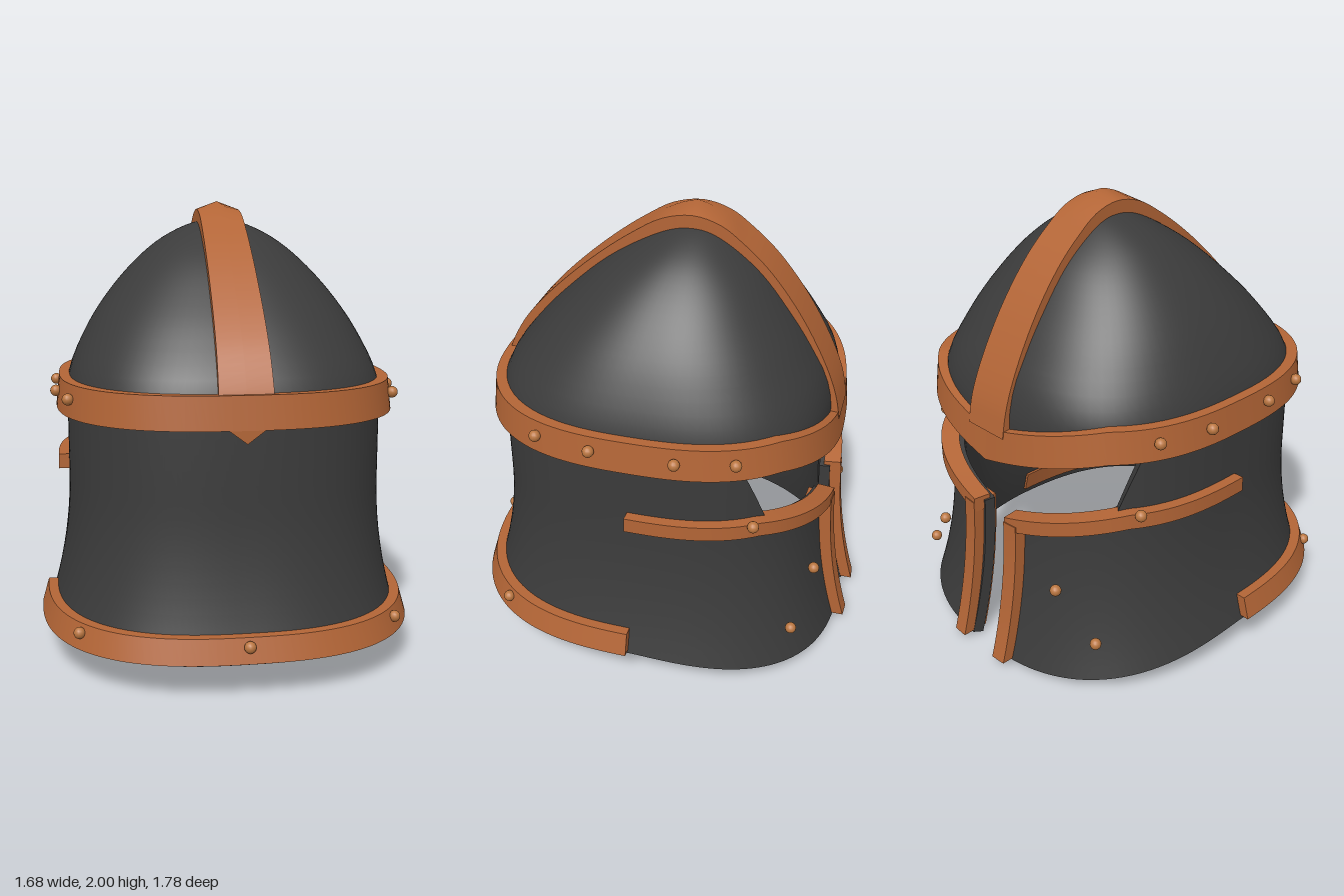
import * as THREE from 'three';
import { mergeGeometries } from 'three/addons/utils/BufferGeometryUtils.js';

const PI = Math.PI;
const SHELL = 0.05; // plate thickness
const clamp = THREE.MathUtils.clamp;
const lerp = THREE.MathUtils.lerp;

// One smooth surface patch from f(s, t)
function patch(f, ns, nt) {
  const pos = [], idx = [];
  for (let i = 0; i <= ns; i++)
    for (let j = 0; j <= nt; j++) pos.push(...f(i / ns, j / nt));
  for (let i = 0; i < ns; i++)
    for (let j = 0; j < nt; j++) {
      const a = i * (nt + 1) + j, b = a + nt + 1;
      idx.push(a, a + 1, b + 1, a, b + 1, b);
    }
  const g = new THREE.BufferGeometry();
  g.setAttribute('position', new THREE.Float32BufferAttribute(pos, 3));
  g.setIndex(idx);
  g.computeVertexNormals();
  return g;
}

// Curved slab p(u, v, w): w = 0 is the inside, w = 1 the outside
function slab(p, nu, nv, closed = false) {
  const parts = [
    patch((s, t) => p(s, t, 1), nu, nv),
    patch((s, t) => p(1 - s, t, 0), nu, nv),
    patch((s, t) => p(t, 1, s), 1, nu),
    patch((s, t) => p(1 - t, 0, s), 1, nu),
  ];
  if (!closed) parts.push(
    patch((s, t) => p(1, s, t), nv, 1),
    patch((s, t) => p(0, 1 - s, t), nv, 1));
  return mergeGeometries(parts);
}

// Rounded-square ring point; angle 0 is the face opening (-z), PI / 2 is +x
function ring(a, rx, rz, y, n = 2.6, zc = 0) {
  const s = Math.sin(a), c = Math.cos(a);
  const r = Math.pow(Math.pow(Math.abs(s) / rx, n) + Math.pow(Math.abs(c) / rz, n), -1 / n);
  return [r * s, y, zc - r * c];
}

// Lower edge dips toward the face
const bottomY = a => 0.145 - 0.125 * Math.pow(Math.max(0, Math.cos(a)), 1.6);

// Flared side wall, pushed out by off
function wall(a, y, off) {
  const b = bottomY(a);
  const g = Math.pow(clamp(1 - (y - b) / (1.2 - b) / 0.6, 0, 1), 2);
  return ring(a, 0.70 + 0.10 * g + off, 0.737 + 0.105 * g + off, y);
}

// V-shaped dip across the face, reaching zero at half-width w
function faceDip(a, depth, w) {
  if (Math.cos(a) <= 0) return 0;
  return depth * Math.max(0, 1 - Math.abs(ring(a, 0.72, 0.76, 0)[0]) / w);
}
const browDip = a => faceDip(a, 0.135, 0.55);
const cheekTop = a => 0.862 - faceDip(a, 0.17, 0.6);

// Top edge of the wall: cheek plates, slanted eye corner, then full height
function wallTop(a) {
  const d = Math.min(a, 2 * PI - a);
  return lerp(cheekTop(a) - 0.02, 1.19, clamp((d - 0.785) / 0.2, 0, 1));
}

export function createModel() {
  const steel = new THREE.MeshStandardMaterial({ color: 0x3b3b3b });
  steel.name = 'dark steel';
  const bronze = new THREE.MeshStandardMaterial({ color: 0xb36536 });
  bronze.name = 'bronze trim';
  const rivetMat = new THREE.MeshStandardMaterial({ color: 0xba7640 });
  rivetMat.name = 'rivet bronze';

  const model = new THREE.Group();
  model.name = 'helmet';
  const add = (name, geo, mat) => {
    const m = new THREE.Mesh(geo, mat);
    m.name = name;
    model.add(m);
    return m;
  };

  // Neck guard and cheek plates in one wall, split at the face, lower edge bevelled
  add('wall', slab((u, v, w) => {
    const a = lerp(0.12, 2 * PI - 0.12, u);
    const p = wall(a, lerp(bottomY(a), wallTop(a), v), (w - 1) * SHELL);
    p[1] -= 0.02 * (1 - w) * (1 - v);
    return p;
  }, 180, 16), steel);

  // Pointed dome; profile stores (half-width, height, half-depth)
  const profile = new THREE.CatmullRomCurve3([
    [0.70, 1.105, 0.737], [0.69, 1.24, 0.73], [0.605, 1.44, 0.61], [0.50, 1.6, 0.48],
    [0.375, 1.74, 0.345], [0.25, 1.84, 0.21], [0.11, 1.905, 0.09], [0.002, 1.92, 0.002],
  ].map(p => new THREE.Vector3(...p)));
  add('dome', slab((u, v, w) => {
    const a = u * 2 * PI, p = profile.getPoint(v);
    const k = clamp((p.y - 1.2) / 0.72, 0, 1);
    const shrink = 1 - (1 - w) * 0.07;
    const y = p.y - browDip(a) * Math.max(0, 1 - v * 5) - (1 - w) * SHELL * k;
    return ring(a, p.x * shrink, p.z * shrink, y, 2.6 - 0.5 * k, -0.1 * Math.pow(k, 1.5));
  }, 96, 28, true), steel);

  // Crest: a solid web through the dome, flat below, with a small ridge at the peak; path is (z, y)
  const crest = new THREE.CatmullRomCurve3([
    [0.772, 1.1], [0.768, 1.18], [0.745, 1.26], [0.675, 1.39], [0.585, 1.5], [0.46, 1.625],
    [0.31, 1.755], [0.16, 1.865], [0.03, 1.94], [-0.1, 1.965], [-0.22, 1.935], [-0.32, 1.865],
    [-0.42, 1.775], [-0.52, 1.655], [-0.61, 1.52], [-0.70, 1.35], [-0.75, 1.22], [-0.775, 1.1],
  ].map(([z, y]) => new THREE.Vector3(0, y, z)));
  add('crest', slab((u, v, w) => {
    const p = crest.getPoint(u);
    const half = 0.095 + 0.018 * clamp((1.96 - p.y) / 0.75, 0, 1);
    const across = v * 2 - 1;
    const ridge = 0.035 * (1 - Math.abs(across)) * Math.max(0, 1 - Math.abs(p.z + 0.1) / 0.2);
    return [across * half, w ? p.y + ridge : 1.1, p.z];
  }, 68, 2), bronze);

  // Brow band, dipping to a point over the nose
  add('browBand', slab((u, v, w) => {
    const a = u * 2 * PI, o = w ? 0 : -0.07 + 0.015 * v;
    return ring(a, 0.75 - 0.015 * v + o, 0.785 - 0.015 * v + o, lerp(1.1, 1.24, v) - browDip(a));
  }, 160, 1, true), bronze);

  // Small downward point on the opposite side of the brow band
  const tri = new THREE.Shape();
  tri.moveTo(-0.08, 1.105);
  tri.lineTo(0, 1.045);
  tri.lineTo(0.08, 1.105);
  const point = add('bandPoint', new THREE.ExtrudeGeometry(tri, { depth: 0.05, bevelEnabled: false }), bronze);
  point.position.z = 0.733;

  // Rim around the neck, showing inside as well
  add('neckRim', slab((u, v, w) =>
    wall(lerp(PI / 2, 1.5 * PI, u), lerp(0.162, 0.265, v), w ? 0.043 : -SHELL - 0.018), 80, 1), bronze);

  // Edging on each cheek plate
  for (const side of [1, -1]) {
    const from = side > 0 ? 0.13 : -PI / 2 - 0.025;
    const to = side > 0 ? PI / 2 + 0.025 : -0.13;
    add('cheekTopTrim', slab((u, v, w) => {
      const a = lerp(from, to, u);
      return wall(a, cheekTop(a) - 0.067 * (1 - v), w ? 0.047 : -0.03);
    }, 60, 1), bronze);

    // The left upright wraps through to the inside of its plate
    const x0 = side > 0 ? 0.102 : -0.175;
    const inner = side > 0 ? -SHELL - 0.02 : -0.03;
    add('cheekFrontTrim', slab((u, v, w) => {
      const x = x0 + u * 0.073;
      const y = lerp(0.03, 0.70, v);
      const p = wall(Math.atan2(x, -wall(0, y, 0)[2]), y, w ? 0.052 : inner);
      return [x, y, p[2]];
    }, 3, 20), bronze);
  }

  // Rivets
  const ball = new THREE.SphereGeometry(0.025, 14, 10);
  const rivet = (x, y, z) => add('rivet', ball, rivetMat).position.set(x, y, z);
  const spots = [
    [0.75, 1.18, 0.16], [0.70, 1.18, 0.41], [0.75, 1.18, -0.2], [0.69, 1.18, -0.44],
    [0.66, 0.865, -0.515], [0.39, 0.475, -0.75], [0.57, 0.262, -0.69], [0.677, 0.23, 0.615],
  ];
  for (const [x, y, z] of spots) for (const s of [1, -1]) rivet(s * x, y, z);
  rivet(0, 0.23, 0.868);

  return model;
}
